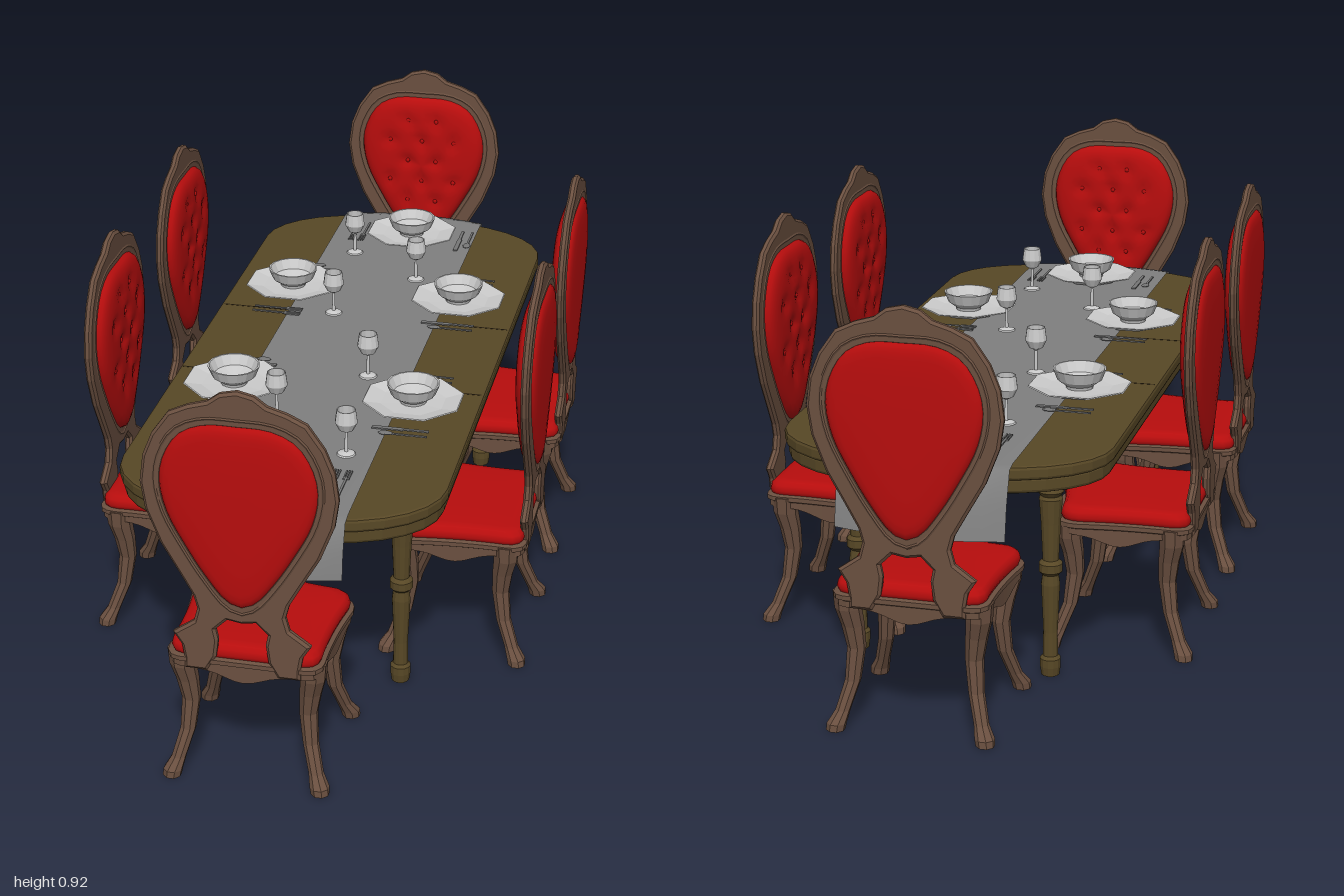
import * as THREE from 'three';

const mat = (color, flat = false, side = THREE.FrontSide) =>
  new THREE.MeshStandardMaterial({ color, flatShading: flat, side });
const chairWood = mat(0x6b5040, true);
const tableWood = mat(0x584826, true);
const seamWood = mat(0x2e2412);
const red = mat(0xb80d0d);
const cloth = mat(0x808080, false, THREE.DoubleSide);
const china = mat(0xcccccc, true, THREE.DoubleSide);
const steel = mat(0x777777, true);

const V2 = (x, y) => new THREE.Vector2(x, y);
const V3 = (x, y, z) => new THREE.Vector3(x, y, z);

function add(parent, name, geometry, material, x = 0, y = 0, z = 0) {
  const m = new THREE.Mesh(geometry, material);
  m.name = name;
  m.position.set(x, y, z);
  parent.add(m);
  return m;
}

// Skin through equal-length closed rings, capped at both ends
function loft(rings) {
  const n = rings[0].length, last = (rings.length - 1) * n;
  const pts = rings.flat(), idx = [];
  const centre = (r) => r.reduce((s, p) => s.add(p), V3(0, 0, 0)).divideScalar(n);
  pts.push(centre(rings[0]), centre(rings[rings.length - 1]));
  for (let j = 0; j < n; j++) {
    const k = (j + 1) % n;
    for (let i = 0; i < last; i += n) idx.push(i + j, i + n + j, i + n + k, i + j, i + n + k, i + k);
    idx.push(pts.length - 2, j, k, pts.length - 1, last + k, last + j);
  }
  const g = new THREE.BufferGeometry().setFromPoints(pts);
  g.setIndex(idx);
  g.computeVertexNormals();
  return g;
}

// Right-hand half outline -> full symmetric outline, counter-clockwise
function mirrored(half) {
  const left = half.filter(([x]) => x > 0).reverse().map(([x, y]) => V2(-x, y));
  return [...half.map(([x, y]) => V2(x, y)), ...left].reverse();
}

const padOutline = new THREE.CatmullRomCurve3(mirrored([
  [0, 0.845], [0.07, 0.842], [0.12, 0.818], [0.153, 0.765], [0.163, 0.71], [0.15, 0.64],
  [0.11, 0.56], [0.07, 0.495], [0.03, 0.445], [0, 0.432],
]).map((p) => V3(p.x, p.y, 0)), true).getSpacedPoints(48).slice(0, 48);

const frameOutline = mirrored([
  [0, 0.918], [0.035, 0.91], [0.06, 0.891], [0.1, 0.879], [0.14, 0.86], [0.175, 0.81], [0.195, 0.76],
  [0.203, 0.7], [0.194, 0.64], [0.165, 0.565], [0.125, 0.495], [0.1, 0.45], [0.092, 0.42], [0.1, 0.39],
  [0.145, 0.358], [0.127, 0.33], [0.122, 0.3], [0.122, 0.275], [0.075, 0.275], [0.055, 0.31],
  [0.05, 0.35], [0.055, 0.375], [0.03, 0.4], [0, 0.395],
]);

const PAD_Y = 0.66;
const padScaled = (s, z) => padOutline.map((p) => V3(p.x * s, PAD_Y + (p.y - PAD_Y) * s, z(p.x * s, PAD_Y + (p.y - PAD_Y) * s)));

// Button positions of the tufted back
const buttons = [];
for (let r = 0; r < 5; r++) {
  const n = [2, 3, 2, 3, 2][r];
  for (let i = 0; i < n; i++) buttons.push([(i - (n - 1) / 2) * (r === 3 || r === 1 ? 0.085 : 0.075), 0.56 + r * 0.056]);
}

function backPad() {
  const steps = [0.06, 0.14, 0.22, 0.3, 0.38, 0.46, 0.54, 0.62, 0.7, 0.78, 0.86, 0.92, 0.97, 1];
  const dome = (s) => Math.sqrt(1 - Math.pow(s, 7));
  const dimple = (x, y) => buttons.reduce((d, [bx, by]) => d + 0.009 * Math.exp(-((x - bx) ** 2 + (y - by) ** 2) / 0.0003), 0);
  const front = steps.map((s) => padScaled(s, (x, y) => 0.006 + 0.027 * dome(s) - dimple(x, y) * dome(s)));
  const back = [1, 0.97, 0.92, 0.84, 0.6, 0.2].map((s) => padScaled(s, () => -0.006 - 0.017 * dome(s)));
  return loft([...front, ...back]);
}

// Seat plan: x across, second axis = depth from the back
const MID = 0.152;
const seatPlan = new THREE.Shape();
seatPlan.moveTo(0, -0.005);
seatPlan.lineTo(0.135, -0.005);
seatPlan.quadraticCurveTo(0.165, 0.0, 0.162, 0.04);
seatPlan.quadraticCurveTo(0.158, 0.14, 0.174, 0.24);
seatPlan.quadraticCurveTo(0.176, 0.285, 0.14, 0.29);
seatPlan.quadraticCurveTo(0.07, 0.295, 0, 0.315);
seatPlan.quadraticCurveTo(-0.07, 0.295, -0.14, 0.29);
seatPlan.quadraticCurveTo(-0.176, 0.285, -0.174, 0.24);
seatPlan.quadraticCurveTo(-0.158, 0.14, -0.162, 0.04);
seatPlan.quadraticCurveTo(-0.165, 0.0, -0.135, -0.005);
seatPlan.closePath();
const seatPts = seatPlan.getSpacedPoints(64).slice(0, 64);
const seatRing = (s, y) => seatPts.map((p) => {
  const d = p.y - MID, m = Math.min(Math.abs(p.x), Math.abs(d));
  return V3(p.x * s, typeof y === 'number' ? y : y(m), MID + d * s);
});

// Cabriole leg: [height, sideways offset, depth offset, radius]
const legProfile = [
  [0, 0.16, 0.15, 0.02], [0.015, 0.158, 0.148, 0.021], [0.04, 0.148, 0.135, 0.016], [0.1, 0.132, 0.113, 0.017],
  [0.17, 0.126, 0.104, 0.02], [0.22, 0.132, 0.108, 0.024], [0.26, 0.139, 0.115, 0.028], [0.298, 0.14, 0.115, 0.03],
];
function chairLeg(sx, sz) {
  return loft(legProfile.map(([y, u, v, r]) => Array.from({ length: 8 }, (_, i) => {
    const a = (i + 0.5) * Math.PI / 4;
    return V3(sx * u + r * Math.cos(a), y, MID + sz * v + r * Math.sin(a));
  })));
}

function makeChair() {
  const c = new THREE.Group();
  for (const sx of [-1, 1]) for (const sz of [-1, 1])
    add(c, sz > 0 ? 'frontChairLeg' : 'backChairLeg', chairLeg(sx, sz), chairWood);
  // Seat rail with a scalloped lower edge
  const wave = (m) => 0.275 - 0.025 * Math.exp(-((m / 0.055) ** 2));
  add(c, 'seatRail', loft([seatRing(0.92, 0.282), seatRing(0.93, wave), seatRing(0.985, wave),
    seatRing(0.985, 0.288), seatRing(1.015, 0.291), seatRing(1.015, 0.301), seatRing(0.96, 0.304)]), chairWood);
  add(c, 'seatCushion', loft([seatRing(0.95, 0.3), seatRing(0.975, 0.312), seatRing(0.96, 0.324),
    seatRing(0.91, 0.332), seatRing(0.8, 0.335), seatRing(0.4, 0.336)]), red);
  // Balloon back frame
  const shape = new THREE.Shape(frameOutline);
  shape.holes.push(new THREE.Path(padScaled(0.96, () => 0).map((p) => V2(p.x, p.y))));
  add(c, 'backFrame', new THREE.ExtrudeGeometry(shape, {
    depth: 0.008, bevelThickness: 0.005, bevelSize: 0.006, bevelOffset: -0.006, bevelSegments: 1,
  }), chairWood, 0, 0, -0.004);
  const bead = new THREE.CatmullRomCurve3(padScaled(1.06, () => 0), true);
  add(c, 'frameBead', new THREE.TubeGeometry(bead, 48, 0.011, 6, true), chairWood);
  add(c, 'backCushion', backPad(), red);
  const knob = new THREE.SphereGeometry(0.006, 8, 6).scale(1, 1, 0.5);
  for (const [x, y] of buttons) add(c, 'cushionButton', knob, red, x, y, 0.025);
  return c;
}

// Table plan with rounded ends
function tablePlan(w, zStraight, zEnd) {
  const end = [];
  for (let i = 0; i <= 16; i++) {
    const a = (i / 16) * Math.PI, x = Math.cos(a);
    end.push(V2(w * x, zStraight + zEnd * Math.sqrt(Math.max(0, 1 - Math.pow(Math.abs(x), 2.5)))));
  }
  return new THREE.Shape([...end, ...end.map((p) => V2(-p.x, -p.y))]);
}
function slab(inset, height, bevel) {
  const g = new THREE.ExtrudeGeometry(tablePlan(0.357 - inset, 0.63, 0.2 - inset), {
    depth: height - 2 * bevel, bevelThickness: bevel, bevelSize: bevel, bevelOffset: -bevel, bevelSegments: 2,
  });
  return g.rotateX(Math.PI / 2).translate(0, -bevel, 0);
}

function makeTable() {
  const t = new THREE.Group();
  t.name = 'table';
  add(t, 'tableTop', slab(0, 0.03, 0.007), tableWood, -0.006, 0.551, -0.02);
  add(t, 'tableApron', slab(0.008, 0.036, 0.008), tableWood, -0.006, 0.526, -0.02);
  for (const z of [-0.2, 0.16]) add(t, 'leafSeam', new THREE.BoxGeometry(0.7, 0.002, 0.004), seamWood, -0.006, 0.5505, z);
  // Turned legs
  const leg = new THREE.LatheGeometry([
    [0, 0], [0.02, 0], [0.023, 0.02], [0.023, 0.038], [0.017, 0.045], [0.016, 0.1], [0.021, 0.21], [0.018, 0.232],
    [0.026, 0.24], [0.026, 0.258], [0.018, 0.266], [0.022, 0.35], [0.026, 0.405], [0.022, 0.412], [0.029, 0.422],
    [0.024, 0.432], [0.032, 0.445], [0.034, 0.495], [0, 0.495],
  ].map(([r, y]) => V2(r, y)), 12);
  for (const [x, z] of [[-0.213, 0.51], [0.233, 0.51], [-0.213, -0.59], [0.233, -0.55]]) add(t, 'tableLeg', leg, tableWood, x, 0, z);
  // Runner draped over both ends
  const drape = [[-0.91, 0.41], [-0.897, 0.48], [-0.872, 0.55], [-0.845, 0.556], [0.8, 0.556], [0.828, 0.55], [0.85, 0.49], [0.858, 0.432]];
  const g = new THREE.PlaneGeometry(0.362, 1, 8, drape.length - 1);
  const p = g.attributes.position;
  for (let i = 0; i < p.count; i++) {
    const [z, y] = drape[Math.floor(i / 9)], x = p.getX(i);
    p.setXYZ(i, x - 0.009, y, z - Math.sign(z) * 0.8 * x * x);
  }
  g.computeVertexNormals();
  add(t, 'tableRunner', g, cloth);
  return t;
}

const lathe = (pts, n) => new THREE.LatheGeometry(pts.map(([r, y]) => V2(r, y)), n);
const plateGeo = lathe([[0, 0.558], [0.065, 0.558], [0.075, 0.566], [0.117, 0.575], [0.115, 0.577], [0.075, 0.569], [0, 0.566]], 8).rotateY(Math.PI / 8);
const bowlGeo = lathe([[0, 0.568], [0.03, 0.568], [0.032, 0.575], [0.05, 0.588], [0.06, 0.613], [0.056, 0.613], [0.045, 0.59], [0, 0.578]], 16);
const glassGeo = lathe([[0, 0.557], [0.021, 0.557], [0.019, 0.56], [0.004, 0.564], [0.003, 0.61], [0.016, 0.617],
  [0.025, 0.635], [0.021, 0.664], [0.019, 0.664], [0.022, 0.636], [0, 0.62]], 12);

function makeSetting() {
  const s = new THREE.Group();
  add(s, 'plate', plateGeo, china);
  add(s, 'bowl', bowlGeo, china);
  const bar = (name, x, z, w, l) => add(s, name, new THREE.BoxGeometry(w, 0.003, l), steel, x, 0.559, z);
  // Two forks, a knife and a spoon
  for (const x of [-0.15, -0.125]) {
    bar('forkHandle', x, -0.025, 0.005, 0.08);
    bar('forkNeck', x, 0.017, 0.014, 0.006);
    for (const d of [-0.0055, 0, 0.0055]) bar('forkTine', x + d, 0.035, 0.003, 0.035);
  }
  bar('knifeHandle', 0.125, -0.03, 0.007, 0.06);
  bar('knifeBlade', 0.126, 0.032, 0.011, 0.07);
  bar('spoonHandle', 0.15, -0.02, 0.005, 0.08);
  add(s, 'spoonBowl', new THREE.SphereGeometry(0.01, 8, 6).scale(1, 0.3, 1.7), steel, 0.15, 0.56, 0.032);
  return s;
}

export function createModel() {
  const model = new THREE.Group();
  model.name = 'diningSet';
  const H = Math.PI / 2;
  const place = (obj, name, [x, z, r]) => {
    obj.name = name;
    obj.position.set(x, 0, z);
    obj.rotation.y = r;
    model.add(obj);
  };
  model.add(makeTable());
  const chair = makeChair();
  [[-0.003, 0.976, Math.PI], [-0.012, -0.976, 0], [0.48, 0.235, -H], [0.48, -0.295, -H],
    [-0.482, 0.265, H], [-0.482, -0.285, H]].forEach((c) => place(chair.clone(), 'chair', c));
  const setting = makeSetting();
  [[0.012, -0.7, 0], [-0.015, 0.645, Math.PI], [-0.21, -0.315, H], [-0.21, 0.25, H],
    [0.205, -0.31, -H], [0.205, 0.255, -H]].forEach((s) => place(setting.clone(), 'placeSetting', s));
  for (const [x, z] of [[-0.11, -0.57], [0.075, -0.435], [-0.08, -0.195], [0.075, 0.13], [-0.08, 0.37], [0.11, 0.515]])
    add(model, 'wineGlass', glassGeo, china, x, 0, z);
  return model;
}
